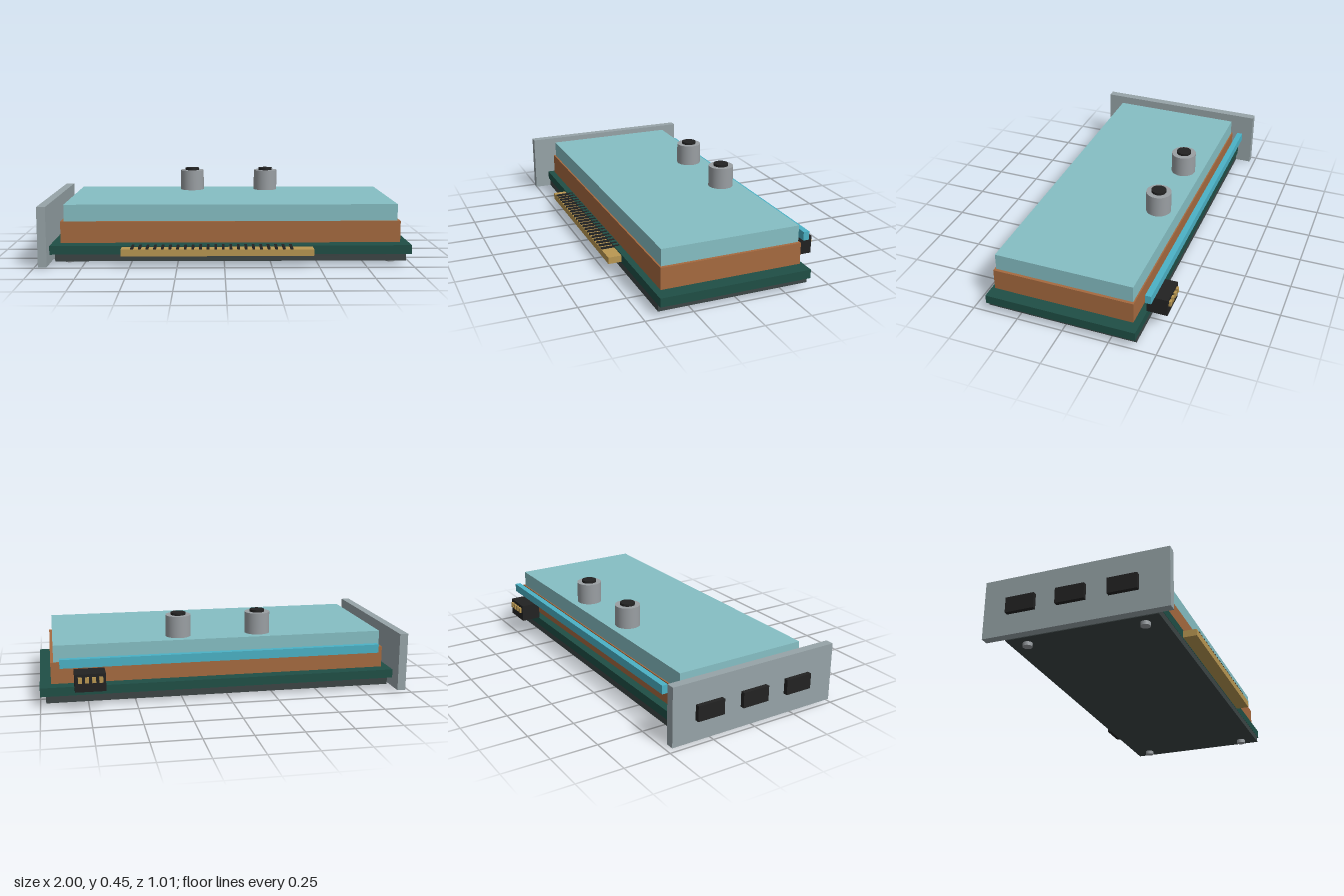
import * as THREE from 'three';

const mat = (name, color) => {
  const m = new THREE.MeshStandardMaterial({ color });
  m.name = name;
  return m;
};

export function createModel() {
  const model = new THREE.Group();
  model.name = 'waterCooledExpansionCard';

  const green = mat('boardGreen', 0x1f4f46);
  const slate = mat('backplateSlate', 0x3c4545);
  const copper = mat('copper', 0xa66a3f);
  const acrylic = mat('paleAcrylic', 0x86bfc4);
  const steel = mat('bracketSteel', 0x97a4a8);
  const silver = mat('fittingSilver', 0x9a9fa3);
  const black = mat('black', 0x222222);
  const gold = mat('contactGold', 0xba9852);
  const cyan = mat('lightBarCyan', 0x4bb2c6);

  // Box given by its extents on each axis
  const box = (name, m, [x0, x1], [y0, y1], [z0, z1]) => {
    const mesh = new THREE.Mesh(new THREE.BoxGeometry(x1 - x0, y1 - y0, z1 - z0), m);
    mesh.position.set((x0 + x1) / 2, (y0 + y1) / 2, (z0 + z1) / 2);
    mesh.name = name;
    model.add(mesh);
  };
  // Upright cylinder between two heights
  const post = (name, m, r, x, z, y0, y1) => {
    const mesh = new THREE.Mesh(new THREE.CylinderGeometry(r, r, y1 - y0, 32), m);
    mesh.position.set(x, (y0 + y1) / 2, z);
    mesh.name = name;
    model.add(mesh);
  };

  // Main stack: backplate, board, copper block, acrylic cover
  box('backplate', slate, [-0.9, 0.97], [0.02, 0.056], [-0.388, 0.422]);
  box('circuitBoard', green, [-0.93, 1], [0.056, 0.103], [-0.39, 0.423]);
  box('copperBlock', copper, [-0.873, 0.941], [0.115, 0.23], [-0.36, 0.397]);
  box('acrylicCover', acrylic, [-0.855, 0.925], [0.23, 0.319], [-0.353, 0.388]);

  // Backplate screws
  for (const x of [-0.835, 0.902])
    for (const z of [-0.295, 0.331]) post('backplateScrew', silver, 0.025, x, z, 0, 0.022);

  // Coolant fittings with dark ports
  for (const x of [-0.184, 0.253]) {
    post('coolantFitting', silver, 0.068, x, -0.247, 0.319, 0.435);
    post('fittingPort', black, 0.04, x, -0.247, 0.43, 0.448);
  }

  // Light bar along the back edge
  box('lightBar', cyan, [-0.825, 0.895], [0.216, 0.262], [-0.434, -0.402]);

  // End bracket with three video ports
  box('bracket', steel, [-0.976, -0.93], [0.007, 0.325], [-0.473, 0.507]);
  for (const z of [-0.265, 0.003, 0.274])
    box('videoPort', black, [-1, -0.965], [0.12, 0.203], [z - 0.077, z + 0.077]);

  // Power socket with four pins
  box('powerSocket', black, [0.663, 0.823], [0.103, 0.198], [-0.495, -0.385]);
  for (let i = 0; i < 4; i++) {
    const x = 0.688 + i * 0.036;
    box('powerPin', gold, [x - 0.01, x + 0.01], [0.152, 0.182], [-0.507, -0.49]);
  }

  // Edge connector with dark divisions between the contacts
  box('edgeConnector', gold, [-0.545, 0.47], [0.061, 0.097], [0.415, 0.495]);
  for (let i = 0; i < 22; i++) {
    const x = -0.487 + i * 0.04;
    box('contactDivider', black, [x - 0.007, x + 0.007], [0.096, 0.105], [0.393, 0.494]);
  }

  return model;
}
